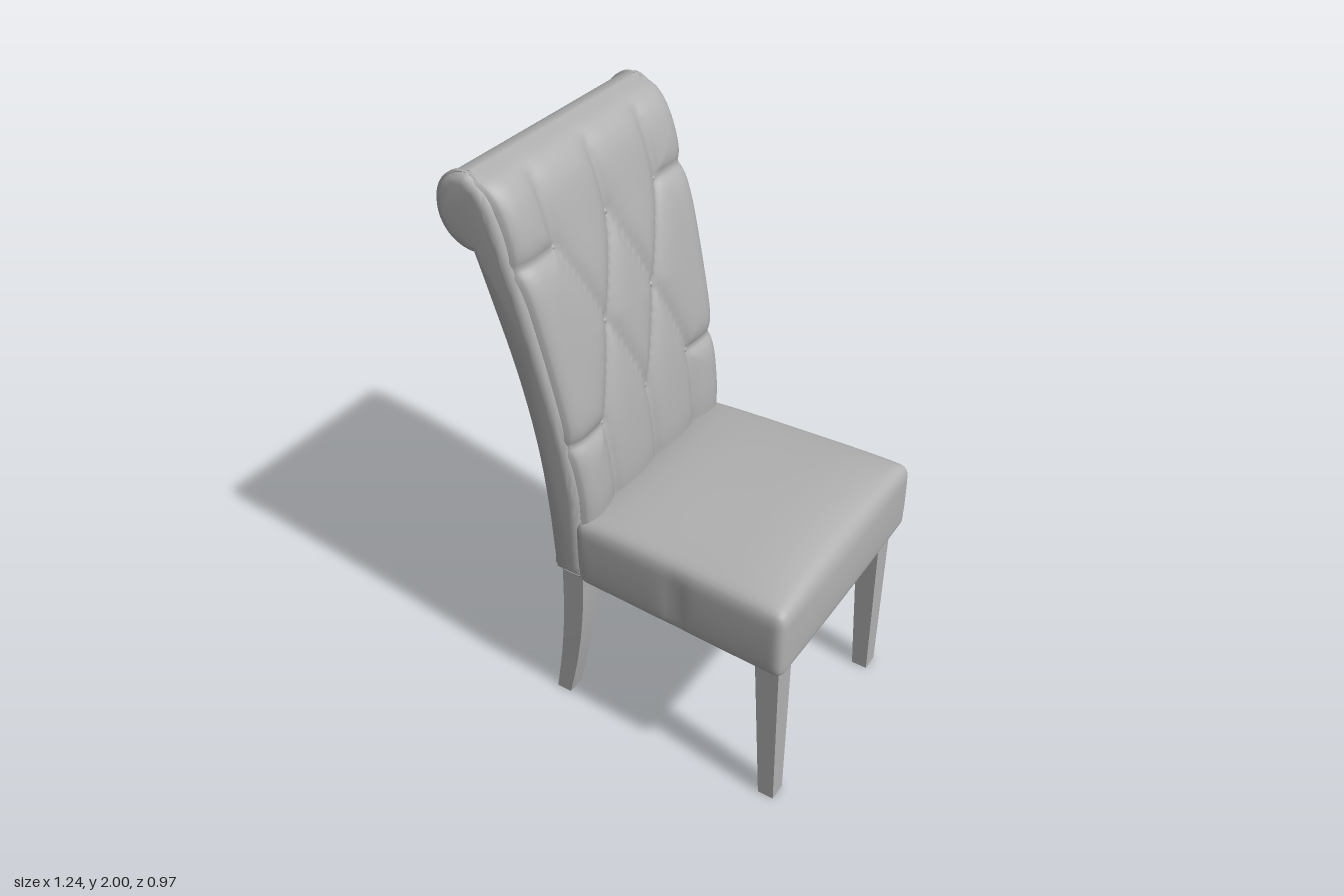
import * as THREE from 'three';
import { mergeVertices, toCreasedNormals } from 'three/addons/utils/BufferGeometryUtils.js';

const V2 = (x, y) => new THREE.Vector2(x, y);
const { lerp, clamp } = THREE.MathUtils;

// Move every vertex of a geometry by a rule.
function deform(geometry, rule) {
  const p = geometry.attributes.position;
  const v = new THREE.Vector3();
  for (let i = 0; i < p.count; i++) {
    rule(v.fromBufferAttribute(p, i));
    p.setXYZ(i, v.x, v.y, v.z);
  }
  geometry.computeVertexNormals();
  return geometry;
}

function smooth(geometry) {
  geometry.deleteAttribute('uv');
  geometry.deleteAttribute('normal');
  const merged = mergeVertices(geometry, 1e-4);
  merged.computeVertexNormals();
  return merged;
}

// The backrest narrows towards the seat.
const widthAt = (y) => lerp(0.9, 1, clamp((y - 0.63) / 1.1, 0, 1));

export function createModel() {
  const fabric = new THREE.MeshStandardMaterial({ color: 0xb0b0b0 });
  fabric.name = 'grey';
  const model = new THREE.Group();
  model.name = 'chair';
  const chair = new THREE.Group();
  chair.name = 'chairBody';
  chair.rotation.y = -0.1;
  model.add(chair);
  const add = (name, geometry) => {
    const mesh = new THREE.Mesh(geometry, fabric);
    mesh.name = name;
    chair.add(mesh);
    return mesh;
  };

  // Scrolled backrest core, drawn in side profile
  const core = new THREE.SplineCurve([
    V2(-0.18, 0.63), V2(-0.175, 0.9), V2(-0.175, 1.0), V2(-0.2, 1.2), V2(-0.24, 1.4),
    V2(-0.285, 1.6), V2(-0.325, 1.75), V2(-0.372, 1.9), V2(-0.41, 1.965), V2(-0.46, 2.0),
  ]).getPoints(40);
  for (let i = 1; i <= 20; i++) {
    const a = Math.PI * (0.5 + i / 20);
    core.push(V2(-0.46 + 0.12 * Math.cos(a), 1.88 + 0.12 * Math.sin(a)));
  }
  core.push(...new THREE.SplineCurve([
    V2(-0.45, 1.73), V2(-0.43, 1.66), V2(-0.36, 1.4), V2(-0.315, 1.15), V2(-0.295, 0.9), V2(-0.29, 0.63),
  ]).getPoints(24));
  const taper = (v) => {
    v.z *= widthAt(v.y);
    v.y = Math.min(v.y, 2);
  };
  const back = new THREE.ExtrudeGeometry(new THREE.Shape(core), {
    depth: 0.81, steps: 1, bevelThickness: 0.028, bevelSize: 0.03, bevelOffset: -0.03, bevelSegments: 5,
  });
  back.translate(0, 0, -0.405);
  add('backrest', toCreasedNormals(deform(back, taper), 0.7));

  // Piping round both sides of the backrest
  for (const side of [-1, 1]) {
    const path = new THREE.CatmullRomCurve3(core.map((p) => new THREE.Vector3(p.x, p.y, side * 0.405)), true);
    add('backPiping', deform(new THREE.TubeGeometry(path, 160, 0.007, 6, true), taper));
  }

  // Tufting: buttons and the folds that join them, as (across, up)
  const rows = [
    [V2(-0.255, 1.75), V2(0, 1.75), V2(0.255, 1.75)],
    [V2(-0.128, 1.46), V2(0.128, 1.46)],
    [V2(-0.25, 1.17), V2(0, 1.17), V2(0.25, 1.17)],
  ];
  const buttons = rows.flat();
  const folds = [];
  for (const r of [0, 2]) {
    rows[1].forEach((b, i) => folds.push([b, rows[r][i]], [b, rows[r][i + 1]]));
    rows[r].forEach((b) => folds.push([b, V2(b.x, r ? 0.8 : 1.95)]));
    for (const b of [rows[r][0], rows[r][2]]) folds.push([b, V2(Math.sign(b.x) * 0.42, b.y)]);
  }
  const closest = new THREE.Vector3();
  const lines = folds.map(([a, b]) => new THREE.Line3(new THREE.Vector3(a.x, a.y, 0), new THREE.Vector3(b.x, b.y, 0)));
  const relief = (w, y, t) => {
    const p = new THREE.Vector3(w, y, 0);
    const d = Math.min(...lines.map((l) => l.closestPointToPoint(p, true, closest).distanceTo(p)));
    const knob = Math.min(...buttons.map((b) => Math.hypot(b.x - w, b.y - y)));
    const fade = clamp((1 - t) / 0.12, 0, 1);
    const rim = 1 - clamp((0.42 - Math.abs(w)) / 0.07, 0, 1);
    return fade * (0.008 - 0.026 * Math.exp(-d / 0.03) - 0.012 * Math.exp(-knob / 0.03))
      - lerp(0.012, 0.04, fade) * (1 - Math.sqrt(1 - rim * rim));
  };

  // Padded front of the backrest: a grid swept up the front curve
  const front = new THREE.SplineCurve([
    V2(-0.14, 0.8), V2(-0.135, 0.9), V2(-0.138, 1.0), V2(-0.163, 1.2), V2(-0.2, 1.4),
    V2(-0.243, 1.6), V2(-0.285, 1.75), V2(-0.333, 1.9), V2(-0.385, 1.972), V2(-0.46, 2.0),
  ]);
  const padPoint = (t, w) => {
    const p = front.getPointAt(t), n = front.getTangentAt(t), h = relief(w, p.y, t);
    return [p.x + n.y * h, Math.min(2, p.y - n.x * h), w * widthAt(p.y)];
  };
  const NI = 100, NJ = 72, pos = [], index = [];
  for (let i = 0; i <= NI; i++) {
    for (let j = 0; j <= NJ; j++) {
      pos.push(...padPoint(i / NI, 0.42 * Math.sin((j / NJ - 0.5) * Math.PI * 0.8) / Math.sin(Math.PI * 0.4)));
      if (i < NI && j < NJ) {
        const a = i * (NJ + 1) + j, b = a + NJ + 1;
        index.push(a, b, a + 1, b, b + 1, a + 1);
      }
    }
  }
  const pad = new THREE.BufferGeometry();
  pad.setAttribute('position', new THREE.Float32BufferAttribute(pos, 3));
  pad.setIndex(index);
  pad.computeVertexNormals();
  add('tuftedPad', pad);

  // Buttons
  for (const b of buttons) {
    let t = 0;
    while (t < 0.99 && front.getPointAt(t).y < b.y) t += 0.002;
    add('button', new THREE.SphereGeometry(0.01, 10, 8)).position.set(...padPoint(t, b.x));
  }

  // Centre seam on the rear of the backrest
  const rear = core.slice(-22).map((p) => new THREE.Vector3(p.x, p.y, 0));
  add('rearSeam', new THREE.TubeGeometry(new THREE.CatmullRomCurve3(rear), 30, 0.004, 6));

  // Seat cushion: rounded, tapered, domed, with a pinched seam in each side
  const half = new THREE.Vector3(0.385, 0.127, 0.43), r = 0.035;
  const inner = half.clone().subScalar(r), outer = inner.clone().negate();
  const seat = deform(new THREE.BoxGeometry(2, 2, 2, 36, 14, 36), (v) => {
    for (const k of ['x', 'y', 'z']) v[k] = Math.sin(v[k] * Math.PI / 2) * half[k];
    const c = v.clone().clamp(outer, inner);
    v.sub(c).setLength(r).add(c);
    const a = clamp(v.x / half.x, -1, 1), b = clamp(v.z / half.z, -1, 1), up = clamp(v.y / half.y, -1, 1);
    const bulge = 1 - up * up;
    const pinch = Math.exp(-((v.x / 0.03) ** 2));
    if (up > 0) v.y += 0.056 * up * Math.pow((1 - a ** 4) * (1 - b * b), 0.6);
    v.x += 0.008 * a * bulge * (1 - b * b) + 0.19;
    v.y += 0.748;
    v.z *= lerp(0.925, 1, (a + 1) / 2) * (1 + (0.012 - 0.02 * pinch) * bulge);
  });
  add('seatCushion', smooth(seat));

  // Dust cover under the seat
  add('underPanel', new THREE.BoxGeometry(0.66, 0.008, 0.72)).position.set(0.19, 0.62, 0);

  // Square legs from sections: [height, rear edge, front edge, half width]
  const legPair = (name, sections, w) => {
    const n = sections.length - 1;
    for (const side of [-1, 1]) {
      const g = deform(new THREE.BoxGeometry(1, 1, 1, 1, n, 1), (v) => {
        const [y, x0, x1, hw] = sections[Math.round((v.y + 0.5) * n)];
        v.set(v.x < 0 ? x0 : x1, y, side * w + Math.sign(v.z) * hw);
      });
      add(name, toCreasedNormals(g, 0.6));
    }
  };
  legPair('frontLeg', [[0, 0.486, 0.542, 0.031], [0.64, 0.459, 0.543, 0.041]], 0.343);
  legPair('rearLeg', [
    [0, -0.353, -0.297, 0.031], [0.1, -0.335, -0.272, 0.032], [0.2, -0.318, -0.25, 0.034],
    [0.3, -0.304, -0.232, 0.036], [0.42, -0.292, -0.215, 0.038], [0.53, -0.285, -0.205, 0.04],
    [0.64, -0.281, -0.199, 0.041],
  ], 0.317);

  return model;
}
